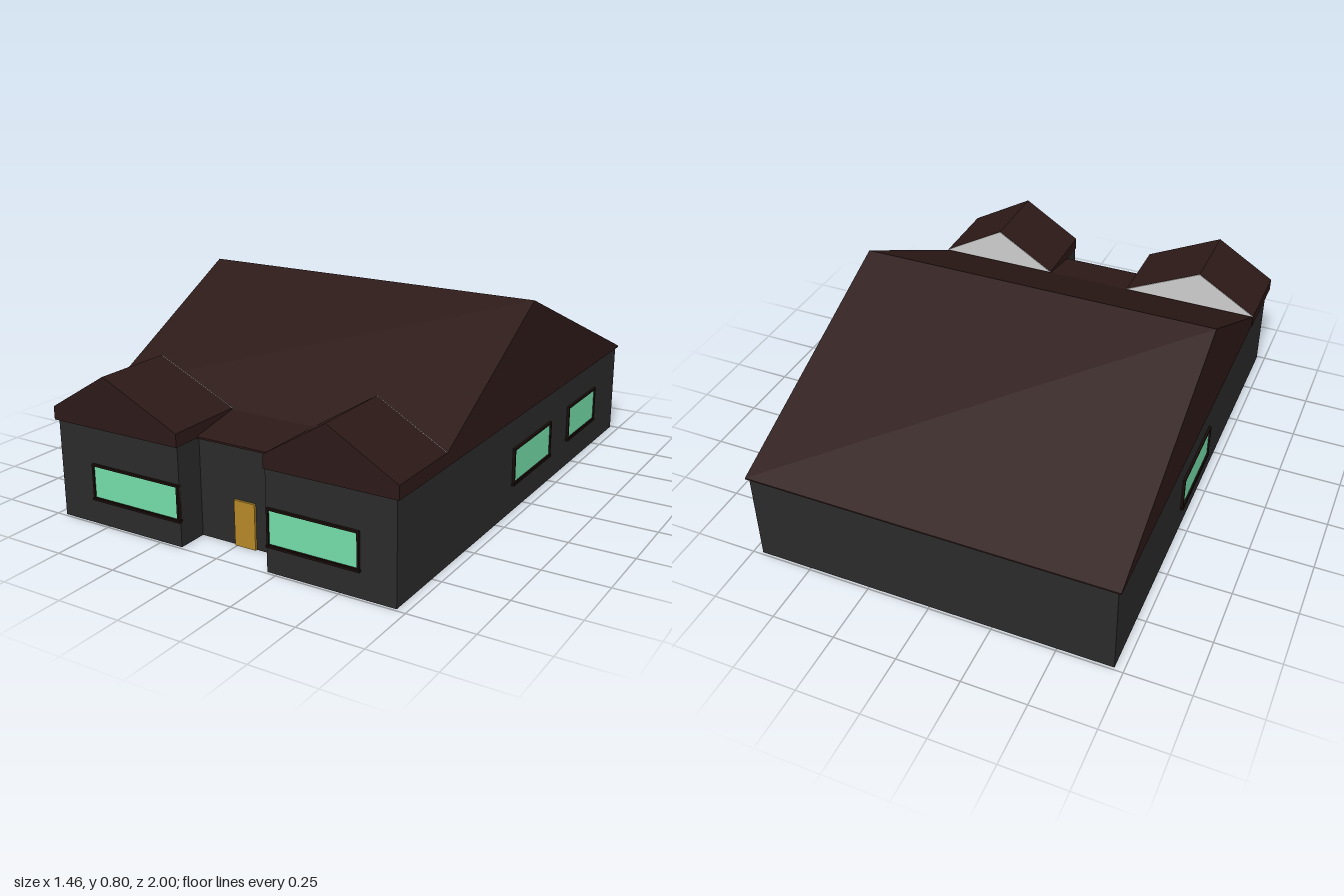
import * as THREE from 'three';

const mat = (color) => new THREE.MeshStandardMaterial({ color, flatShading: true });

export function createModel() {
  const house = new THREE.Group();
  house.name = 'house';
  const wall = mat(0x2a2a2a), roof = mat(0x2c1917), trim = mat(0x1a0e0c);
  const glass = mat(0x74dca9), doorMat = mat(0xb58828), grey = mat(0xcccccc);

  const add = (name, geometry, material, parent = house) => {
    const mesh = new THREE.Mesh(geometry, material);
    mesh.name = name;
    parent.add(mesh);
    return mesh;
  };
  const extrude = (points, depth) => new THREE.ExtrudeGeometry(
    new THREE.Shape(points.map(([x, y]) => new THREE.Vector2(x, y))),
    { depth, bevelEnabled: false });

  // Walls: U-shaped plan with the entrance recess, extruded upwards
  const plan = [[-0.715, 0.99], [-0.715, -0.99], [0.713, -0.99], [0.713, 0.99],
    [0.21, 0.99], [0.21, 0.87], [-0.16, 0.87], [-0.16, 0.99]];
  add('walls', extrude(plan.map(([x, z]) => [x, -z]), 0.38).rotateX(-Math.PI / 2), wall);

  // Main roof: side profile (z, y) extruded along x
  const profile = [[-1, 0.378], [0.885, 0.378], [0.885, 0.385], [0.68, 0.425], [-0.01, 0.8], [-1, 0.384]];
  add('mainRoof', extrude(profile, 1.45).rotateY(-Math.PI / 2).translate(0.723, 0, 0), roof);

  // Front wing roofs with grey rear gables
  for (const [side, x0, peak, x1] of [['right', -0.73, -0.48, -0.157], ['left', 0.208, 0.455, 0.723]]) {
    const wing = new THREE.Group();
    wing.name = side + 'WingRoof';
    house.add(wing);
    add('gableRoof', extrude([[x0, 0.379], [x1, 0.379], [x1, 0.43], [peak, 0.583], [x0, 0.43]], 0.32)
      .translate(0, 0, 0.678), roof, wing);
    add('rearGable', extrude([[x0, 0.43], [x1, 0.43], [peak, 0.582]], 0.003)
      .translate(0, 0, 0.674), grey, wing);
  }

  // Windows: framed pane facing +z, turned to its wall
  const addWindow = (name, width, height, x, y, z, turn) => {
    const win = new THREE.Group();
    win.name = name;
    win.position.set(x, y, z);
    win.rotation.y = turn;
    house.add(win);
    const t = 0.008;
    add('pane', new THREE.BoxGeometry(width - t, height - t, 0.006), glass, win);
    for (const s of [-1, 1]) {
      add('frameRail', new THREE.BoxGeometry(width, t, 0.018), trim, win).position.y = s * (height - t) / 2;
      add('frameStile', new THREE.BoxGeometry(t, height, 0.018), trim, win).position.x = s * (width - t) / 2;
    }
    add('sill', new THREE.BoxGeometry(width + 0.008, 0.008, 0.02), trim, win).position.set(0, -height / 2, 0.001);
  };
  addWindow('frontRightWindow', 0.4, 0.138, -0.36, 0.169, 0.991, 0);
  addWindow('frontLeftWindow', 0.36, 0.14, 0.397, 0.171, 0.991, 0);
  addWindow('leftFrontWindow', 0.355, 0.144, 0.714, 0.184, -0.067, Math.PI / 2);
  addWindow('leftRearWindow', 0.305, 0.144, 0.714, 0.189, -0.584, Math.PI / 2);
  addWindow('rightWindow', 0.355, 0.144, -0.716, 0.178, -0.07, -Math.PI / 2);

  // Entrance door
  add('door', new THREE.BoxGeometry(0.088, 0.175, 0.012), doorMat).position.set(0.036, 0.0875, 0.873);

  return house;
}
